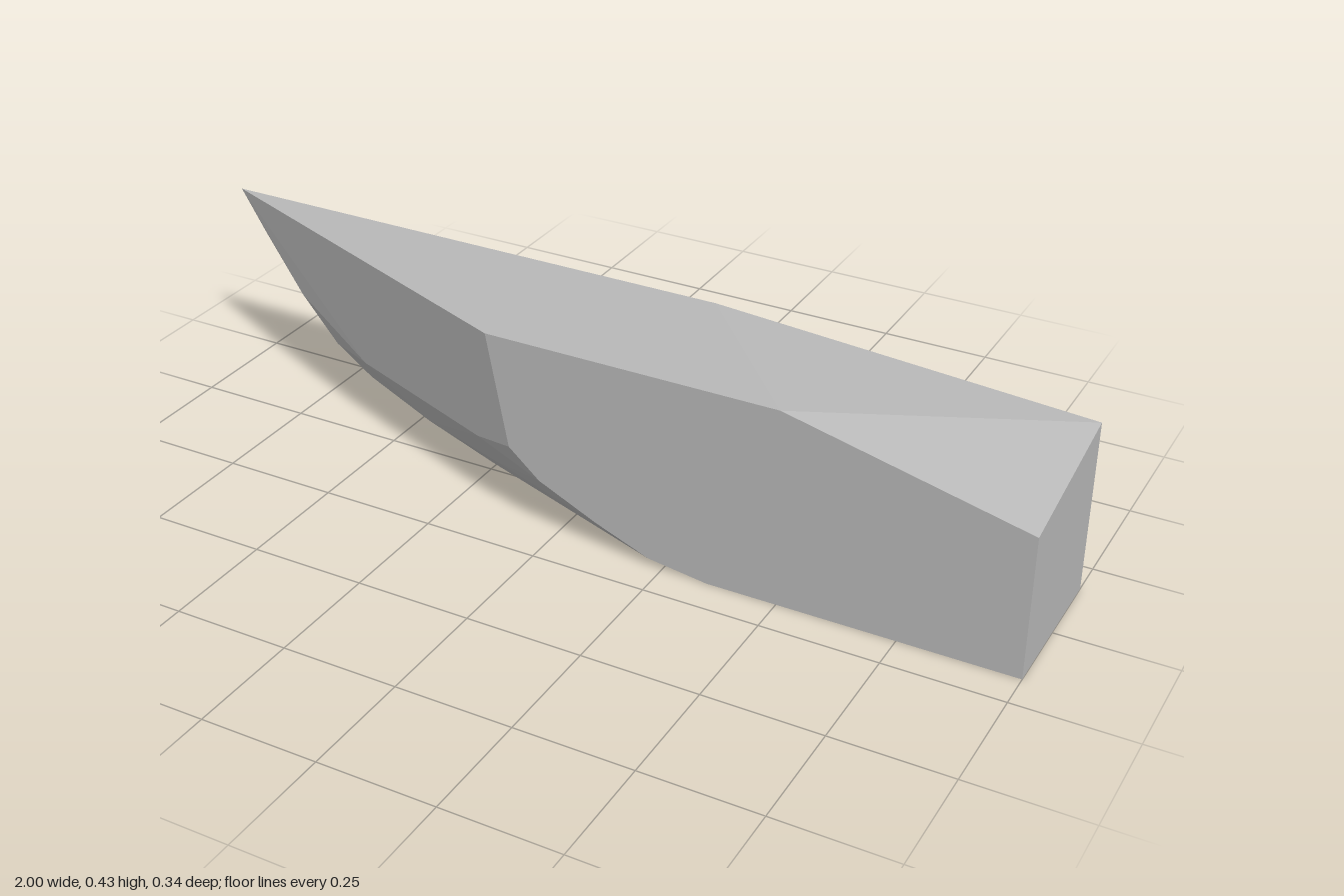
import * as THREE from 'three';
import { ConvexGeometry } from 'three/addons/geometries/ConvexGeometry.js';

const HALF_WIDTH = 0.17;

export function createModel() {
  const group = new THREE.Group();
  const grey = new THREE.MeshStandardMaterial({ color: 0xb8b8b8 });
  grey.name = 'hull grey';

  // Flat long side: [x, y] outline with the curved bow
  const backOutline = [
    [1, 0], [1, 0.376], [0.19, 0.43], [-1, 0.43], [-0.94, 0.335], [-0.87, 0.245],
    [-0.8, 0.168], [-0.7, 0.09], [-0.61, 0.048], [-0.52, 0.011], [-0.37, 0],
  ];

  // Short side: the bow is cut away and the stern top slopes down
  const frontOutline = [
    [1, 0], [1, 0.31], [0.49, 0.43], [-0.15, 0.43], [-0.1, 0.185], [-0.03, 0.125],
    [0.1, 0.065], [0.22, 0.018], [0.35, 0],
  ];

  // Bilge knuckle and rounded bottom between the two sides: [x, y, z]
  const bilge = [
    [-0.8, 0.24, -0.105], [-0.69, 0.16, -0.073], [-0.58, 0.162, -0.022], [-0.2, 0.162, 0.129],
    [-0.6, 0.1, -0.07], [-0.4, 0.08, 0.005], [-0.18, 0.09, 0.095],
    [-0.45, 0.03, -0.075], [-0.24, 0.025, 0.01], [0, 0.03, 0.1],
  ];

  const points = [
    ...backOutline.map(([x, y]) => new THREE.Vector3(x, y, -HALF_WIDTH)),
    ...frontOutline.map(([x, y]) => new THREE.Vector3(x, y, HALF_WIDTH)),
    ...bilge.map((p) => new THREE.Vector3(...p)),
  ];

  const hull = new THREE.Mesh(new ConvexGeometry(points), grey);
  hull.name = 'hull';
  group.add(hull);
  return group;
}
